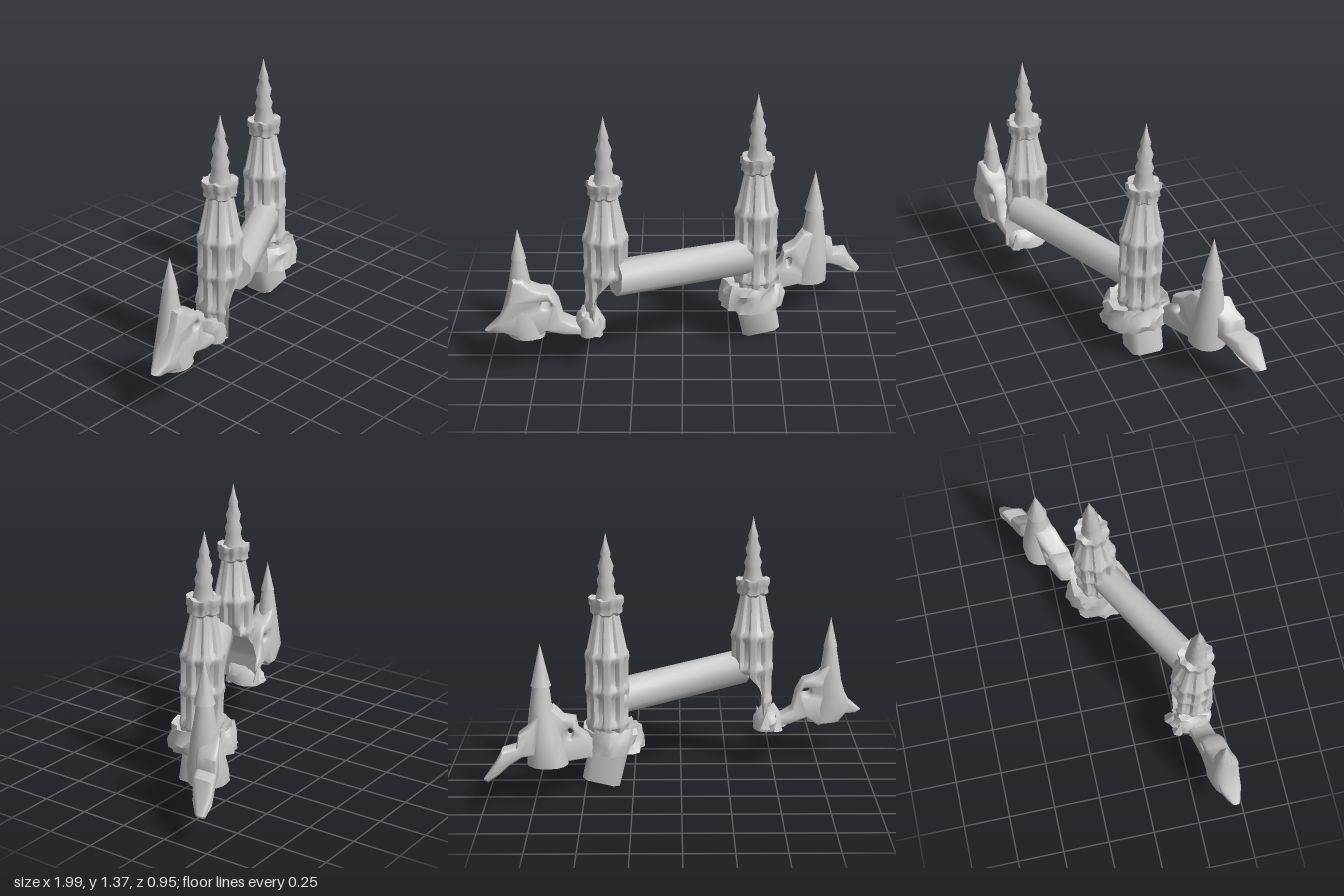
import * as THREE from 'three';
import { toCreasedNormals } from 'three/addons/utils/BufferGeometryUtils.js';

const stone = new THREE.MeshStandardMaterial({ color: 0xc6c6c6, side: THREE.DoubleSide });
stone.name = 'grey stone';
const { clamp } = THREE.MathUtils;

let seed = 7;
const rand = () => ((seed = (seed * 16807) % 2147483647) / 2147483647) * 2 - 1;

function add(parent, name, geometry, crease = 0.9) {
  const mesh = new THREE.Mesh(toCreasedNormals(geometry, crease), stone);
  mesh.name = name;
  parent.add(mesh);
  return mesh;
}

// Closed stack of rings; point(i, angle) gives the position on ring i
function loft(rings, segments, point) {
  const pos = [], index = [];
  for (let i = 0; i < rings; i++)
    for (let j = 0; j < segments; j++) pos.push(...point(i, (j / segments) * Math.PI * 2));
  for (const i of [0, rings - 1]) {
    const c = [0, 0, 0];
    for (let j = 0; j < segments; j++)
      for (let k = 0; k < 3; k++) c[k] += pos[(i * segments + j) * 3 + k] / segments;
    pos.push(...c);
  }
  const bottom = rings * segments, top = bottom + 1, last = (rings - 1) * segments;
  for (let j = 0; j < segments; j++) {
    const k = (j + 1) % segments;
    for (let i = 0; i < rings - 1; i++) {
      const a = i * segments + j, b = i * segments + k;
      index.push(a, a + segments, b, b, a + segments, b + segments);
    }
    index.push(bottom, j, k, top, last + k, last + j);
  }
  const g = new THREE.BufferGeometry();
  g.setAttribute('position', new THREE.Float32BufferAttribute(pos, 3));
  g.setIndex(index);
  return g;
}

// Weathered mass from rows of [y, x, z, radiusX, radiusZ]
function mass(rows, rough, segments = 18) {
  return loft(rows.length, segments, (i, a) => {
    const [y, x, z, rx, rz] = rows[i];
    const k = 1 + rand() * rough;
    const end = i === 0 ? 0 : 1;
    return [x + Math.cos(a) * rx * k, y + rand() * rough * 0.1 * end, z + Math.sin(a) * rz * k];
  });
}

// Ragged wall: outline in x and y, thinned at its far tip and slid in z along a slanting line
function wall(points, holes, thickness, x0, z0, slope) {
  const shape = new THREE.Shape(points.map(p => new THREE.Vector2(...p)));
  for (const [x, y, rx, ry] of holes) shape.holes.push(new THREE.Path().absellipse(x, y, rx, ry, 0, Math.PI * 2));
  const size = 0.014, round = 0.035;
  const g = new THREE.ExtrudeGeometry(shape, {
    depth: thickness - round * 2, curveSegments: 6, bevelEnabled: true,
    bevelSize: size, bevelOffset: -size, bevelThickness: round, bevelSegments: 3,
  });
  const p = g.attributes.position;
  for (let i = 0; i < p.count; i++) {
    const x = p.getX(i), taper = clamp((1.04 - Math.abs(x)) / 0.13, 0.35, 1);
    p.setZ(i, (p.getZ(i) - thickness / 2 + round) * taper + z0 + slope * (x - x0));
  }
  return g;
}

// Chamfered beam between two points
function beam(parent, name, from, to, w, h, c) {
  const a = new THREE.Vector3(...from), b = new THREE.Vector3(...to);
  const x = w / 2, y = h / 2;
  const shape = new THREE.Shape([[x, -y + c], [x, y - c], [x - c, y], [c - x, y], [-x, y - c],
    [-x, c - y], [c - x, -y], [x - c, -y]].map(p => new THREE.Vector2(...p)));
  const mesh = add(parent, name, new THREE.ExtrudeGeometry(shape, { depth: a.distanceTo(b), bevelEnabled: false }));
  mesh.position.copy(a);
  mesh.lookAt(b);
}

// Tower shaft rows: [y, radius, depth of the panels between the piers]
const shaft = [[0.22, 0.108, 0.2], [0.33, 0.108, 0.2], [0.345, 0.114, 0.07], [0.36, 0.114, 0.07],
  [0.385, 0.108, 0.2], [0.45, 0.109, 0.2], [0.505, 0.11, 0.2], [0.53, 0.116, 0.07], [0.55, 0.116, 0.07],
  [0.57, 0.111, 0.18], [0.6, 0.111, 0.2], [0.69, 0.112, 0.2], [0.715, 0.117, 0.07], [0.735, 0.114, 0.07],
  [0.755, 0.104, 0.17], [0.95, 0.064, 0.14]];
const collar = [[0.94, 0.062], [0.955, 0.08], [0.985, 0.077], [1.0, 0.086], [1.03, 0.086], [1.025, 0.05]];
const spire = [[0.056, 1.02], [0.04, 1.09], [0.047, 1.12], [0.033, 1.155], [0.041, 1.195],
  [0.024, 1.24], [0.027, 1.26], [0.012, 1.31], [0, 1.37]];

function tower(parent, name, position, lean, limit) {
  const group = new THREE.Group();
  group.name = name;
  group.position.set(...position);
  group.rotation.x = lean;
  parent.add(group);
  add(group, 'flutedShaft', loft(shaft.length, 96, (i, a) => {
    const [y, r, depth] = shaft[i];
    const k = r * (1 - depth * clamp(0.5 - Math.cos(a * 8), 0, 1));
    return [Math.min(Math.cos(a) * k, limit(y)), y, Math.sin(a) * k];
  }));
  add(group, 'scallopedCollar', loft(collar.length, 60, (i, a) => {
    const [y, r] = collar[i];
    const k = r * (1 + 0.06 * Math.cos(a * 10));
    return [Math.cos(a) * k, y + 0.006 * Math.sin(a * 5), Math.sin(a) * k];
  }));
  add(group, 'ringedSpire', new THREE.LatheGeometry(spire.map(p => new THREE.Vector2(...p)), 16), 1);
}

function pinnacleCap(parent, name, x, y, z, r, height) {
  const points = [[0, 0], [r, 0.005], [r * 0.85, 0.03], [r * 0.45, height * 0.55], [0, height]];
  const cap = add(parent, name, new THREE.LatheGeometry(points.map(p => new THREE.Vector2(...p)), 14));
  cap.position.set(x, y, z);
}

export function createModel() {
  const model = new THREE.Group();
  model.name = 'ruinedTowers';

  // The broken tower keeps only a thin outer wall below the bridge
  tower(model, 'brokenTower', [-0.387, 0, 0.325], 0, y =>
    y >= 0.6 ? 1 : y > 0.52 ? 0.07 : y > 0.5 ? 0.02 : y > 0.4 ? -0.035 : -0.06);
  tower(model, 'standingTower', [0.385, -0.015, -0.012], -0.027, () => 1);

  // Slanting bridge and the stub hanging under the standing tower
  beam(model, 'bridgeBeam', [-0.34, 0.525, 0.385], [0.36, 0.465, 0], 0.15, 0.178, 0.045);
  beam(model, 'hangingStub', [0.365, 0.26, -0.035], [0.421, 0.028, -0.035], 0.17, 0.2, 0.03);

  // Ragged tower bases
  add(model, 'standingTowerBase', mass([[0.2, 0.365, -0.015, 0.165, 0.18], [0.25, 0.37, -0.015, 0.165, 0.175],
    [0.29, 0.37, -0.015, 0.16, 0.165], [0.325, 0.37, -0.02, 0.15, 0.155], [0.3, 0.38, -0.03, 0.11, 0.11]], 0.09, 32));
  add(model, 'brokenTowerBase', mass([[0.2, -0.475, 0.31, 0.075, 0.11], [0.25, -0.475, 0.31, 0.075, 0.11],
    [0.28, -0.48, 0.32, 0.065, 0.1], [0.31, -0.485, 0.33, 0.035, 0.085]], 0.1));
  const shards = [[-0.46, 0.27, 0.21], [-0.52, 0.25, 0.24], [-0.43, 0.25, 0.38], [-0.54, 0.25, 0.32]];
  for (const [x, y, z] of shards) {
    const shard = add(model, 'stoneShard', new THREE.ConeGeometry(0.035, 0.1, 6));
    shard.position.set(x, y, z);
    shard.rotation.set(rand() * 0.3, rand(), rand() * 0.3);
  }

  // Right pinnacle with its crumbling wall
  add(model, 'rightPinnacleBody', mass([[0.21, -0.79, 0.4, 0.09, 0.07], [0.28, -0.82, 0.4, 0.115, 0.072],
    [0.36, -0.82, 0.395, 0.088, 0.066], [0.44, -0.82, 0.39, 0.068, 0.06], [0.52, -0.82, 0.39, 0.052, 0.05],
    [0.64, -0.82, 0.39, 0.033, 0.033]], 0.05));
  pinnacleCap(model, 'rightPinnacleCap', -0.82, 0.63, 0.39, 0.038, 0.17);
  add(model, 'rightRuinedWall', wall([[-1, 0.26], [-0.93, 0.32], [-0.88, 0.42], [-0.85, 0.54], [-0.8, 0.54],
    [-0.76, 0.49], [-0.72, 0.47], [-0.67, 0.46], [-0.63, 0.39], [-0.61, 0.3], [-0.56, 0.27], [-0.5, 0.25],
    [-0.5, 0.2], [-0.6, 0.21], [-0.69, 0.24], [-0.76, 0.19], [-0.82, 0.21], [-0.9, 0.25], [-0.97, 0.245]],
  [[-0.69, 0.39, 0.025, 0.02]], 0.12, -0.8, 0.4, -0.2));

  // Left pinnacle with its arched wall and falling spur
  add(model, 'leftPinnacleBody', mass([[0.2, 0.68, -0.28, 0.105, 0.1], [0.28, 0.69, -0.28, 0.098, 0.1],
    [0.36, 0.7, -0.28, 0.088, 0.085], [0.44, 0.705, -0.28, 0.072, 0.07], [0.52, 0.71, -0.28, 0.056, 0.056],
    [0.63, 0.71, -0.28, 0.04, 0.04]], 0.04));
  pinnacleCap(model, 'leftPinnacleCap', 0.71, 0.61, -0.28, 0.053, 0.225);
  add(model, 'leftArchedWall', wall([[0.46, 0.2], [0.46, 0.29], [0.5, 0.33], [0.53, 0.36], [0.54, 0.42],
    [0.6, 0.44], [0.65, 0.5], [0.72, 0.5], [0.72, 0.2]], [[0.57, 0.35, 0.014, 0.025]], 0.12, 0.55, -0.2, -0.5));
  add(model, 'leftFallingSpur', wall([[0.72, 0.48], [0.77, 0.42], [0.82, 0.39], [0.83, 0.33], [0.9, 0.32],
    [0.93, 0.26], [0.99, 0.18], [0.97, 0.16], [0.91, 0.2], [0.86, 0.24], [0.8, 0.27], [0.74, 0.27]],
  [], 0.12, 0.9, -0.405, -0.5));

  return model;
}
